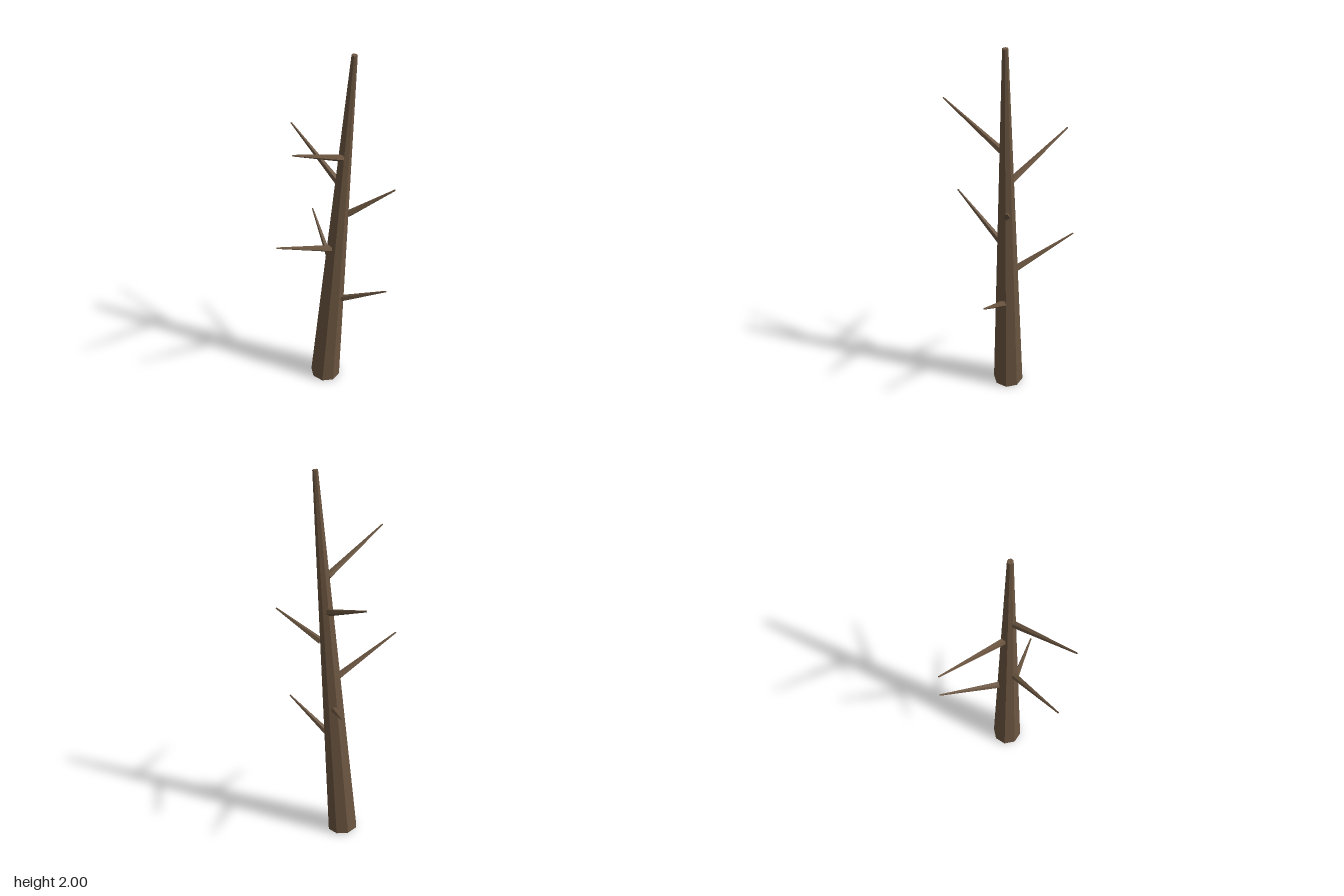
import * as THREE from 'three';

const UP = new THREE.Vector3(0, 1, 0);

// Tapered limb running from one point to another, with capped ends
function limb(name, from, to, rBase, rTip, sides, twist, material) {
  const dir = to.clone().sub(from);
  const geo = new THREE.CylinderGeometry(rTip, rBase, dir.length(), sides);
  geo.rotateY(twist);
  const mesh = new THREE.Mesh(geo, material);
  mesh.name = name;
  mesh.position.copy(from).lerp(to, 0.5);
  mesh.quaternion.setFromUnitVectors(UP, dir.normalize());
  return mesh;
}

export function createModel() {
  const group = new THREE.Group();
  group.name = 'bareTree';
  const bark = new THREE.MeshStandardMaterial({ color: 0x6b5540, flatShading: true });
  bark.name = 'barkBrown';

  // Leaning eight-sided trunk
  const foot = new THREE.Vector3(-0.035, 0.006, -0.031);
  const top = new THREE.Vector3(0.099, 1.999, -0.06);
  const rFoot = 0.081, rTop = 0.014;
  group.add(limb('trunk', foot, top, rFoot, rTop, 8, 0.227, bark));

  // Branches: height where they leave the trunk, then the tip
  const branches = [
    [0.585, 0.31, 0.724, -0.034],
    [0.77, -0.236, 0.911, -0.312],
    [0.93, -0.139, 1.098, 0.296],
    [1.13, 0.293, 1.284, -0.142],
    [1.305, -0.312, 1.469, -0.234],
    [1.475, -0.031, 1.657, 0.311],
  ];
  branches.forEach(([y, tx, ty, tz], i) => {
    const t = (y - foot.y) / (top.y - foot.y);
    const base = foot.clone().lerp(top, t);
    const tip = new THREE.Vector3(tx, ty, tz);
    const out = tip.clone().sub(base).setY(0).normalize();
    base.addScaledVector(out, 0.92 * THREE.MathUtils.lerp(rFoot, rTop, t));
    group.add(limb('branch' + (i + 1), base, tip, 0.018, 0.004, 5, Math.atan2(out.x, out.z), bark));
  });
  return group;
}
